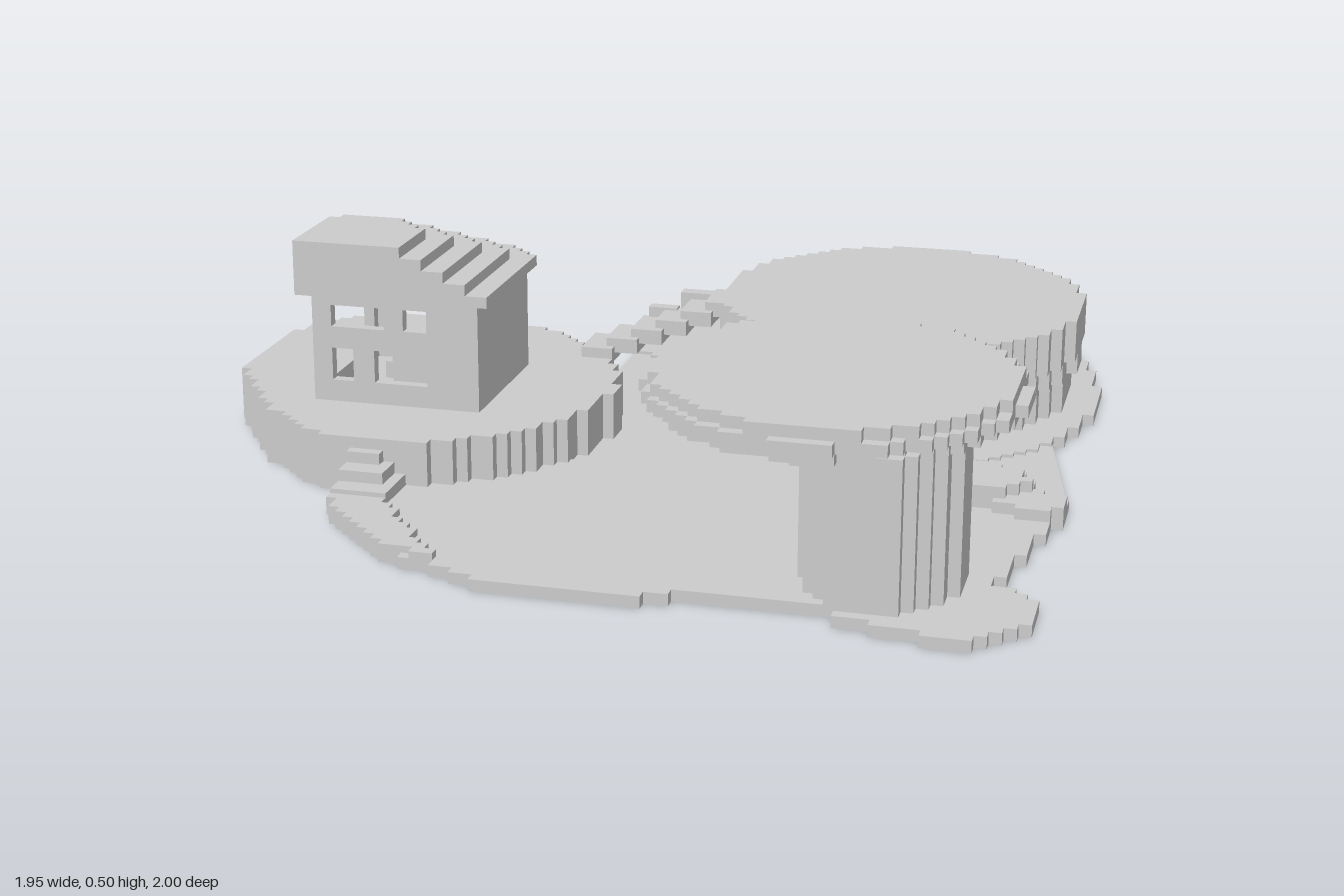
import * as THREE from 'three';

const V = 0.025; // size of one block
const snap = (v) => Math.round(v / V) * V;

export function createModel() {
  const group = new THREE.Group();
  const mat = new THREE.MeshStandardMaterial({ color: 0xcccccc, flatShading: true });

  function add(name, geo) {
    const mesh = new THREE.Mesh(geo, mat);
    mesh.name = name;
    group.add(mesh);
    return mesh;
  }

  function box(name, x0, x1, y0, y1, z0, z1) {
    const mesh = add(name, new THREE.BoxGeometry(x1 - x0, y1 - y0, z1 - z0));
    mesh.position.set((x0 + x1) / 2, (y0 + y1) / 2, (z0 + z1) / 2);
  }

  // Upright slab with an outline given as [x, z] points
  function slab(name, pts, y0, y1) {
    const shape = new THREE.Shape(pts.map(([x, z]) => new THREE.Vector2(x, -z)));
    const geo = new THREE.ExtrudeGeometry(shape, { depth: y1 - y0, bevelEnabled: false });
    geo.rotateX(-Math.PI / 2).translate(0, y0, 0);
    return add(name, geo);
  }

  // Slab whose outline is cut into block-sized rows
  function blocky(name, pts, y0, y1) {
    const zs = pts.map((p) => p[1]);
    const first = Math.round(Math.min(...zs) / V), last = Math.round(Math.max(...zs) / V);
    const left = [], right = [];
    for (let i = first; i < last; i++) {
      const z = (i + 0.5) * V, hits = [];
      pts.forEach(([ax, az], k) => {
        const [bx, bz] = pts[(k + 1) % pts.length];
        if ((az > z) !== (bz > z)) hits.push(ax + ((z - az) / (bz - az)) * (bx - ax));
      });
      if (!hits.length) continue;
      const lo = snap(Math.min(...hits)), hi = Math.max(snap(Math.max(...hits)), lo + V);
      left.push([lo, i * V], [lo, (i + 1) * V]);
      right.push([hi, i * V], [hi, (i + 1) * V]);
    }
    return slab(name, [...left, ...right.reverse()], y0, y1);
  }

  const oval = (cx, cz, rx, rz = rx) => Array.from({ length: 40 }, (_, i) => {
    const a = ((i + 0.5) / 40) * Math.PI * 2;
    return [cx + rx * Math.cos(a), cz + rz * Math.sin(a)];
  });

  // Ground plates
  blocky('backGround', [[-0.2, -0.62], [-0.2, -0.8], [-0.1, -0.92], [0.03, -1], [0.2, -1], [0.28, -0.975],
    [0.53, -0.975], [0.55, -1], [0.7, -1], [0.72, -0.97], [0.8, -0.95], [0.88, -0.9], [0.93, -0.75],
    [0.97, -0.57], [0.97, -0.4], [0.93, -0.25], [0.88, -0.12], [0.72, 0.05], [0.55, 0.12], [0.35, 0.12],
    [0.25, 0.05], [0.22, -0.08], [0.05, -0.42]], 0, 0.025);
  blocky('frontGround', [[-0.55, 0.46], [-0.55, 0.6], [-0.48, 0.72], [-0.35, 0.85], [-0.2, 0.9], [-0.1, 0.95],
    [0.2, 0.95], [0.35, 0.87], [0.5, 0.85], [0.7, 0.9], [0.88, 0.72], [0.92, 0.5], [0.97, 0.3], [0.97, 0.2],
    [0.75, 0.2], [0.5, 0.22], [-0.1, 0.22]], 0, 0.025);
  blocky('cornerGround', [[0.7, 0.97], [0.77, 0.97], [0.78, 1], [0.87, 1], [0.97, 0.9], [0.97, 0.78],
    [0.88, 0.71], [0.75, 0.7], [0.6, 0.78], [0.6, 0.95]], 0, 0.025);
  slab('linkingGround', [[-0.2, -0.63], [0.3, -0.6], [0.9, -0.17], [0.97, 0.2], [0.8, 0.5], [-0.1, 0.7],
    [-0.4, 0.4], [-0.3, 0], [-0.2, -0.3]], 0, 0.018);

  // Terrace carrying the house
  blocky('houseTerrace', [[-0.75, -0.45], [-0.48, -0.45], [-0.35, -0.4], [-0.2, -0.28], [-0.11, -0.12],
    [-0.08, 0.02], [-0.12, 0.22], [-0.23, 0.38], [-0.4, 0.475], [-0.62, 0.475], [-0.8, 0.33], [-0.92, 0.15],
    [-0.97, 0.05], [-0.97, -0.22], [-0.92, -0.35], [-0.85, -0.41]], 0, 0.125);

  // Steps from the terrace to the front ground, and the rim beyond
  for (let i = 0; i < 3; i++) {
    box('terraceStep', -0.55, -0.475 + i * V, 0, 0.1 - i * V, 0.45, 0.5 + i * 0.05);
  }
  blocky('frontRim', [[-0.55, 0.5], [-0.55, 0.6], [-0.48, 0.72], [-0.35, 0.84], [-0.22, 0.88],
    [-0.25, 0.84], [-0.33, 0.73], [-0.43, 0.6], [-0.46, 0.5]], 0.02, 0.04);

  // Large round back platform, undercut below with a doorway recess
  const base = [...oval(0.5, -0.49, 0.4, 0.42)].map(([x, z]) =>
    (x < 0.25 && z > -0.5 && z < -0.25 ? [0.25, z] : [x, z]));
  blocky('backPlatformFoot', base, 0.02, 0.1);
  blocky('backPlatformWall', base.map(([x, z]) => [0.5 + (x - 0.5) * 1.04, -0.5 + (z + 0.49) * 1.04]), 0.1, 0.15);
  blocky('backPlatformTop', oval(0.5, -0.5, 0.43, 0.452), 0.15, 0.25);

  // Stepped bridge from the terrace to the back platform
  for (let i = 0; i < 6; i++) {
    const x = -0.225 + i * 0.055, z = -0.27 - i * 0.022, y = 0.15 + i * 0.02;
    box('bridgeStep', x, x + 0.075, y - 0.035, y, z - 0.06, z + 0.06);
  }
  box('bridgeRail', -0.1, -0.03, 0.16, 0.215, -0.395, -0.365);
  box('bridgeRail', -0.03, 0.06, 0.18, 0.245, -0.44, -0.405);

  // Round lookout deck on its pillar
  blocky('pillar', oval(0.665, 0.74, 0.155, 0.185), 0, 0.34);
  [[0.36, 0.325], [0.385, 0.35], [0.37, 0.375]].forEach(([r, y]) =>
    blocky('lookoutDeck', oval(0.535, 0.585, r), y, y + V));

  // Stair from the back platform up to the deck
  for (let i = 0; i < 6; i++) {
    const z = -0.06 + i * 0.05, y = 0.265 + i * V;
    box('deckStair', 0.45, 0.575, y - 0.06, y, z, z + 0.06);
  }

  // Low stepped rocks on the left side
  blocky('lowRock', [[0.63, 0.12], [0.68, 0.06], [0.78, 0.07], [0.88, 0.14], [0.9, 0.22], [0.97, 0.26],
    [0.97, 0.32], [0.9, 0.36], [0.8, 0.3], [0.66, 0.22]], 0.015, 0.05);
  blocky('upperRock', oval(0.8, 0.23, 0.09, 0.07), 0.05, 0.075);

  // House walls: panels with rectangular openings [u0, u1, y0, y1]
  function wall(name, u0, u1, openings, place) {
    const rect = (P, a, b, c, d) => {
      const p = new P();
      p.moveTo(a, c); p.lineTo(b, c); p.lineTo(b, d); p.lineTo(a, d); p.closePath();
      return p;
    };
    const shape = rect(THREE.Shape, u0, u1, 0.125, 0.38);
    openings.forEach((o) => shape.holes.push(rect(THREE.Path, ...o)));
    place(add(name, new THREE.ExtrudeGeometry(shape, { depth: V, bevelEnabled: false })));
  }
  wall('houseFrontWall', -0.72, -0.33, [[-0.675, -0.55, 0.3, 0.35], [-0.505, -0.45, 0.3, 0.35],
    [-0.675, -0.625, 0.175, 0.25], [-0.575, -0.45, 0.175, 0.25]], (m) => { m.position.z = 0.225; });
  wall('houseBackWall', -0.72, -0.33, [[-0.68, -0.39, 0.165, 0.35]], (m) => { m.position.z = -0.12; });
  const side = (x) => (m) => { m.rotation.y = -Math.PI / 2; m.position.x = x; };
  wall('houseRightWall', -0.12, 0.25, [[-0.07, 0.18, 0.165, 0.35]], side(-0.695));
  wall('houseLeftWall', -0.12, 0.25, [], side(-0.33));

  // Furniture
  box('bench', -0.55, -0.42, 0.125, 0.25, 0.1, 0.2);
  box('table', -0.62, -0.5, 0.125, 0.165, -0.03, 0.06);

  // Stepped house roof, rising to the front right corner
  for (let i = 0; i < 5; i++) {
    const x = -0.3 - i * 0.05, z = -0.175 + i * 0.05;
    blocky('houseRoof', [[-0.75, 0.275], [-0.75, z + 0.03], [-0.7, z], [x - 0.08, z], [x, z + 0.08],
      [x, 0.275]], 0.375 + i * V, 0.4 + i * V);
  }
  return group;
}
